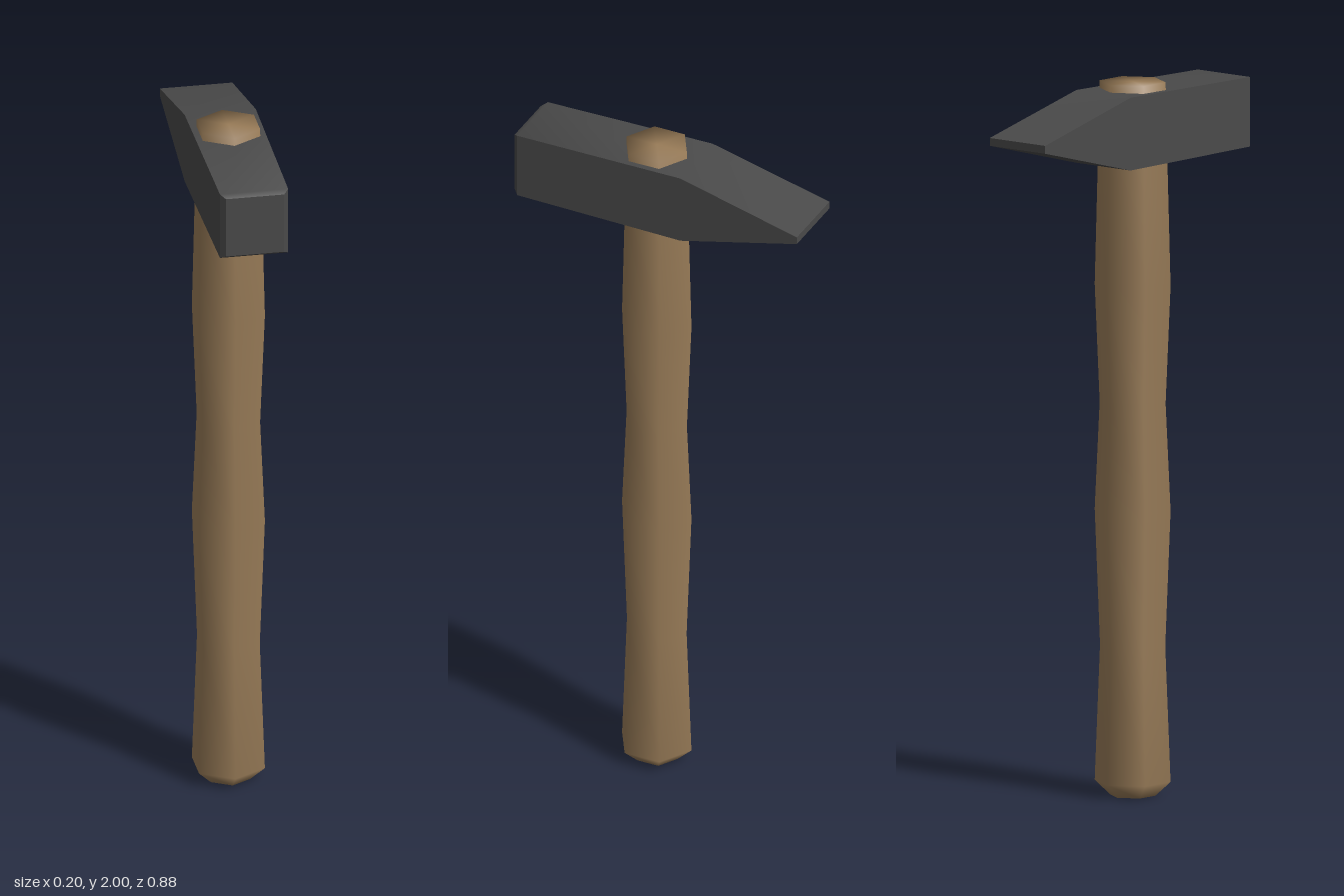
import * as THREE from 'three';
import { toCreasedNormals } from 'three/addons/utils/BufferGeometryUtils.js';

const wood = new THREE.MeshStandardMaterial({ color: 0x997c58 });
wood.name = 'wood';
const steel = new THREE.MeshStandardMaterial({ color: 0x4a4a4a });
steel.name = 'darkSteel';

// Six-sided handle, swelling twice along its length: [radius, height]
function makeHandle() {
  const profile = [
    [0, 0], [0.064, 0], [0.107, 0.04], [0.092, 0.42], [0.107, 0.8],
    [0.093, 1.1], [0.107, 1.43], [0.098, 1.78], [0.093, 2], [0, 2],
  ].map(([r, y]) => new THREE.Vector2(r, y));
  const mesh = new THREE.Mesh(new THREE.LatheGeometry(profile, 6), wood);
  mesh.name = 'handle';
  mesh.position.z = 0.042;
  return mesh;
}

// Head lofted through rectangles from striking face to wedge tip:
// [z, half width, bottom, top]
function makeHead() {
  const sections = [
    [0.44, 0.082, 1.79, 1.966],
    [0.425, 0.096, 1.78, 1.975],
    [-0.08, 0.1, 1.776, 1.98],
    [-0.44, 0.102, 1.868, 1.89],
  ];
  const positions = [];
  const index = [];
  for (const [z, w, y0, y1] of sections) {
    positions.push(-w, y0, z, w, y0, z, w, y1, z, -w, y1, z);
  }
  const last = (sections.length - 1) * 4;
  for (let s = 0; s < last; s += 4) {
    for (let i = 0; i < 4; i++) {
      const j = (i + 1) % 4;
      const a = s + i, b = s + j, c = a + 4, d = b + 4;
      index.push(a, c, b, b, c, d);
    }
  }
  // End faces
  index.push(0, 1, 2, 0, 2, 3);
  index.push(last, last + 2, last + 1, last, last + 3, last + 2);
  const geometry = new THREE.BufferGeometry();
  geometry.setAttribute('position', new THREE.Float32BufferAttribute(positions, 3));
  geometry.setIndex(index);
  const mesh = new THREE.Mesh(toCreasedNormals(geometry, 0.7), steel);
  mesh.name = 'hammerHead';
  return mesh;
}

export function createModel() {
  const group = new THREE.Group();
  group.name = 'hammer';
  group.add(makeHandle(), makeHead());
  return group;
}
